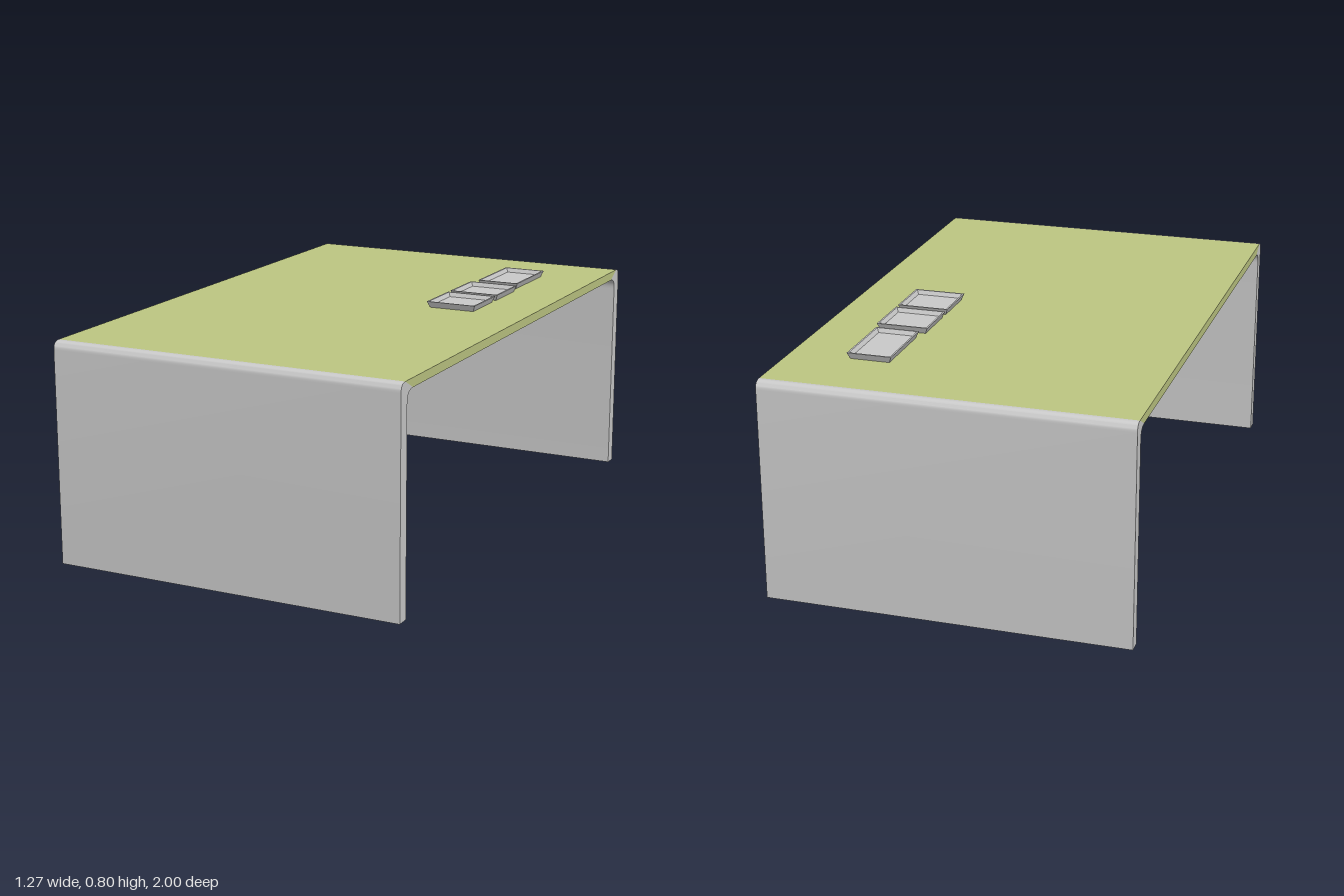
import * as THREE from 'three';
import { toCreasedNormals } from 'three/addons/utils/BufferGeometryUtils.js';

const WIDTH = 1.266, TOP = 0.777, UNDER = 0.746;

// Extrude a side profile drawn in (z, y) across the table's width
function acrossWidth(shape) {
  const geo = new THREE.ExtrudeGeometry(shape, { depth: WIDTH, bevelEnabled: false, curveSegments: 8 });
  geo.rotateY(-Math.PI / 2);
  geo.translate(WIDTH / 2, 0, 0);
  return toCreasedNormals(geo, 0.6);
}

// Leg panel with the rounded bend that meets the top; s = 1 front, -1 back
function legGeometry(s) {
  const p = new THREE.Shape();
  p.moveTo(s * 0.955, 0);
  p.lineTo(s, 0);
  p.lineTo(s, TOP - 0.03);
  p.quadraticCurveTo(s, TOP, s * 0.97, TOP);
  p.lineTo(s * 0.913, UNDER);
  p.quadraticCurveTo(s * 0.955, UNDER, s * 0.955, UNDER - 0.042);
  p.closePath();
  return acrossWidth(p);
}

// Shallow flared tray made from rectangular loops: base, rim, inner rim, floor
function trayGeometry(w, d) {
  const loops = [[0, 0.009], [0.022, 0], [0.022, 0.006], [0.007, 0.013]];
  const corners = [[-1, 1], [1, 1], [1, -1], [-1, -1]];
  const pos = [], index = [];
  for (const [y, inset] of loops)
    for (const [cx, cz] of corners) pos.push(cx * (w / 2 - inset), y, cz * (d / 2 - inset));
  for (let r = 0; r < loops.length - 1; r++)
    for (let i = 0; i < 4; i++) {
      const a = r * 4 + i, b = r * 4 + (i + 1) % 4;
      index.push(a, b, b + 4, a, b + 4, a + 4);
    }
  index.push(12, 13, 14, 12, 14, 15, 0, 2, 1, 0, 3, 2);
  const geo = new THREE.BufferGeometry();
  geo.setAttribute('position', new THREE.Float32BufferAttribute(pos, 3));
  geo.setIndex(index);
  const flat = geo.toNonIndexed();
  flat.computeVertexNormals();
  return flat;
}

export function createModel() {
  const grey = new THREE.MeshStandardMaterial({ color: 0xcacaca });
  grey.name = 'light grey';
  const green = new THREE.MeshStandardMaterial({ color: 0xbdc682 });
  green.name = 'olive green';

  const group = new THREE.Group();
  group.name = 'table';
  const add = (name, geo, mat) => {
    const mesh = new THREE.Mesh(geo, mat);
    mesh.name = name;
    group.add(mesh);
    return mesh;
  };

  // Table top, mitred into the bends
  const top = new THREE.Shape([[-0.97, TOP], [-0.913, UNDER], [0.913, UNDER], [0.97, TOP]]
    .map(([z, y]) => new THREE.Vector2(z, y)));
  add('tableTop', acrossWidth(top), green);

  // Leg panels
  add('frontLeg', legGeometry(1), grey);
  add('backLeg', legGeometry(-1), grey);

  // Row of trays: x and z centres, width, depth
  const trays = [
    ['longTray', 0.35, -0.587, 0.156, 0.272],
    ['middleTray', 0.348, -0.322, 0.184, 0.188],
    ['nearTray', 0.348, -0.113, 0.184, 0.188],
  ];
  for (const [name, x, z, w, d] of trays)
    add(name, trayGeometry(w, d), grey).position.set(x, TOP, z);

  return group;
}
